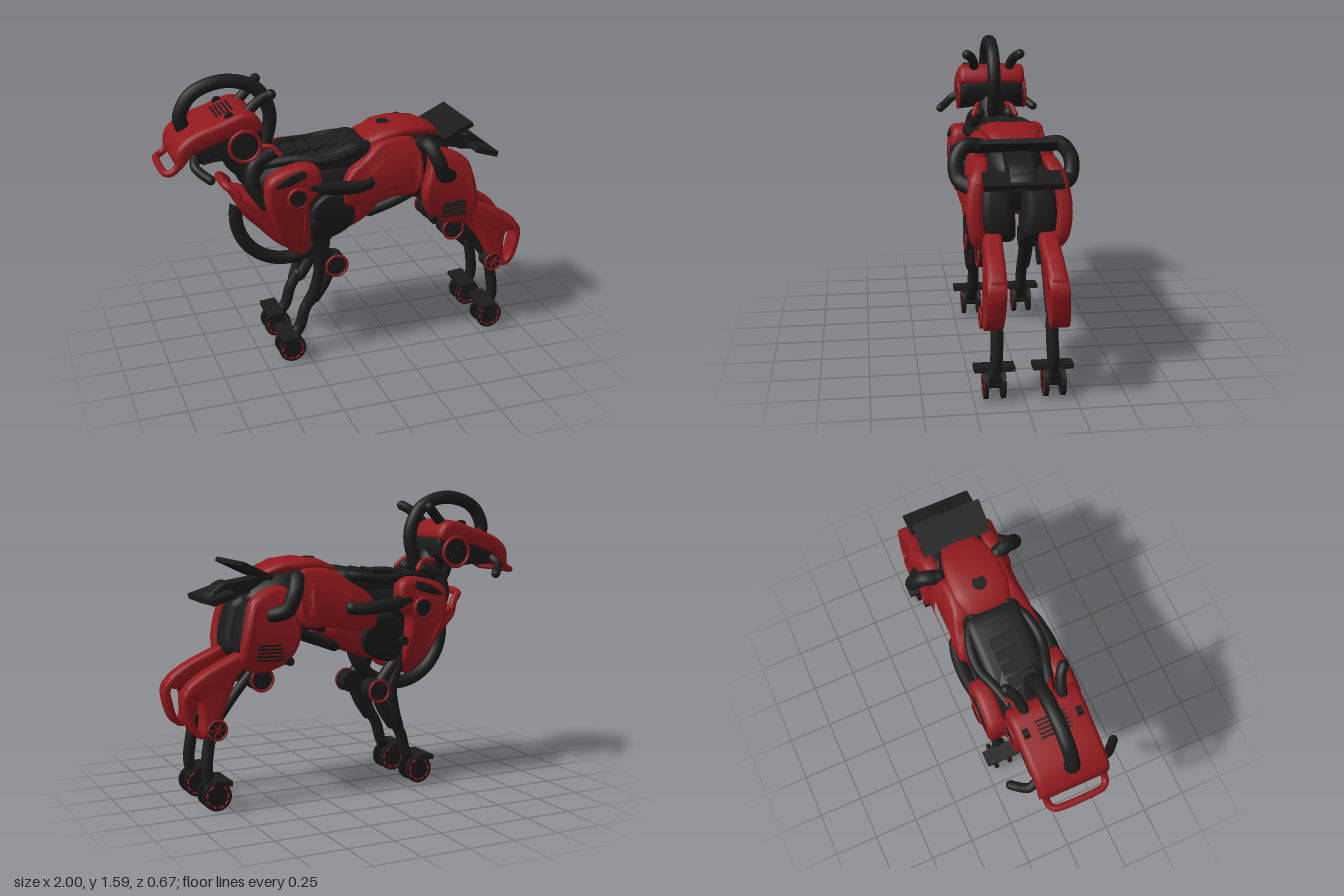
import * as THREE from 'three';
import { toCreasedNormals } from 'three/addons/utils/BufferGeometryUtils.js';

const red = new THREE.MeshStandardMaterial({ color: 0x90191d });
red.name = 'painted red';
const dark = new THREE.MeshStandardMaterial({ color: 0x1b1b1b });
dark.name = 'graphite';

export function createModel() {
  const root = new THREE.Group();
  root.name = 'robotDog';

  const add = (name, geo, mat, x = 0, y = 0, z = 0) => {
    const m = new THREE.Mesh(geo, mat);
    m.name = name;
    m.position.set(x, y, z);
    root.add(m);
    return m;
  };
  const loop = pts => new THREE.CatmullRomCurve3(pts.map(p => new THREE.Vector3(p[0], p[1], 0)), true, 'centripetal')
    .getPoints(pts.length * 5).slice(0, -1).map(p => new THREE.Vector2(p.x, p.y));
  const scaled = (pts, cx, cy, kx, ky) => pts.map(([x, y]) => [cx + (x - cx) * kx, cy + (y - cy) * ky]);
  // Rounded plate in the side plane, centred on z; warp(y) shifts it sideways with height
  const plate = (name, mat, pts, z, depth, bevel, warp = () => 0, hole = null) => {
    const shape = new THREE.Shape(loop(pts));
    if (hole) shape.holes.push(new THREE.Path(loop(hole)));
    const geo = new THREE.ExtrudeGeometry(shape, {
      depth: depth - 2 * bevel, steps: 1, bevelSize: bevel, bevelThickness: bevel, bevelOffset: -bevel, bevelSegments: 4,
    });
    geo.translate(0, 0, bevel - depth / 2);
    const p = geo.attributes.position;
    for (let i = 0; i < p.count; i++) p.setZ(i, p.getZ(i) + warp(p.getY(i)));
    add(name, toCreasedNormals(geo, 0.7), mat, 0, 0, z);
  };
  // Round hose with closed ends
  const hose = (name, mat, pts, r) => {
    const curve = new THREE.CatmullRomCurve3(pts.map(p => new THREE.Vector3(...p)));
    add(name, new THREE.TubeGeometry(curve, pts.length * 8, r, 12), mat);
    for (const e of [pts[0], pts[pts.length - 1]]) add(name + 'End', new THREE.SphereGeometry(r, 12, 8), mat, ...e);
  };
  const axle = (name, mat, x, y, z, r, w, sides = 28) =>
    add(name, new THREE.CylinderGeometry(r, r, w, sides).rotateX(Math.PI / 2), mat, x, y, z);
  const box = (name, mat, x, y, z, w, h, d, rz = 0) => {
    add(name, new THREE.BoxGeometry(w, h, d), mat, x, y, z).rotation.z = rz;
  };
  // Dark hub with a red rim and spokes on its outer face
  const hub = (name, x, y, z, r, w, s, spokeMat = dark) => {
    axle(name, dark, x, y, z, r * 0.95, w);
    add(name + 'Rim', new THREE.TorusGeometry(r * 0.9, r * 0.11, 8, 32), red, x, y, z + s * w / 2);
    for (let i = 0; i < 3; i++) box(name + 'Spoke', spokeMat, x, y, z + s * (w / 2 + 0.003), r * 1.3, r * 0.14, 0.008, i * Math.PI / 3);
  };
  // Loft through oval sections [x, yCentre, yRadius, zRadius]
  const loft = (name, mat, secs, n = 28) => {
    const pos = [], idx = [];
    const soft = v => Math.sign(v) * Math.abs(v) ** 0.75;
    for (const [x, y, ry, rz] of secs) for (let i = 0; i < n; i++) {
      const a = i / n * Math.PI * 2;
      pos.push(x, y + ry * soft(Math.cos(a)), rz * soft(Math.sin(a)));
    }
    for (let k = 0; k < secs.length - 1; k++) for (let i = 0; i < n; i++) {
      const a = k * n + i, b = k * n + (i + 1) % n;
      idx.push(a, b, a + n, b, b + n, a + n);
    }
    const g = new THREE.BufferGeometry();
    g.setAttribute('position', new THREE.Float32BufferAttribute(pos, 3));
    g.setIndex(idx);
    g.computeVertexNormals();
    add(name, g, mat);
  };

  // Torso
  loft('torso', dark, [[-0.5, 0.97, 0.005, 0.005], [-0.49, 0.97, 0.1, 0.09], [-0.4, 0.95, 0.19, 0.15], [-0.2, 0.94, 0.21, 0.19],
    [0, 0.97, 0.19, 0.18], [0.2, 1.03, 0.16, 0.17], [0.42, 1.04, 0.16, 0.15], [0.58, 1.0, 0.12, 0.1], [0.6, 1.0, 0.005, 0.005]]);
  plate('backCover', dark, [[-0.3, 1.1], [-0.1, 1.17], [0.08, 1.2], [0.16, 1.1], [0.05, 1.0], [-0.2, 1.0]], 0, 0.32, 0.05);
  for (let i = 0; i < 6; i++) box('spineRib', dark, -0.38 + i * 0.075, 1.155 + i * 0.006, 0, 0.06, 0.018, 0.15, 0.35);
  plate('bellyPlate', red, [[-0.18, 0.7], [-0.06, 0.715], [0.08, 0.775], [0.18, 0.9], [0.1, 0.95], [-0.12, 0.85]], 0, 0.36, 0.06);
  plate('chestPlate', red, [[-0.61, 0.97], [-0.59, 0.88], [-0.5, 0.78], [-0.39, 0.67], [-0.28, 0.62], [-0.24, 0.7], [-0.34, 0.85], [-0.46, 0.92]],
    0, 0.28, 0.04);
  hose('chestBumper', red, [[-0.52, 0.85, 0.12], [-0.59, 0.92, 0.12], [-0.615, 0.99, 0.11], [-0.66, 1.03, 0.08],
    [-0.66, 1.03, -0.08], [-0.615, 0.99, -0.11], [-0.59, 0.92, -0.12], [-0.52, 0.85, -0.12]], 0.021);
  add('chestRing', new THREE.TorusGeometry(0.282, 0.037, 14, 48, Math.PI * 1.15).rotateZ(Math.PI * 0.92), dark, -0.315, 0.82, 0);

  // Rump saddle with cap
  loft('rumpSaddle', red, [[0.078, 1.16, 0.003, 0.02], [0.085, 1.16, 0.02, 0.08], [0.12, 1.185, 0.035, 0.125], [0.2, 1.215, 0.04, 0.15],
    [0.3, 1.228, 0.04, 0.15], [0.42, 1.222, 0.035, 0.13], [0.5, 1.195, 0.025, 0.1], [0.515, 1.19, 0.003, 0.05]]);
  add('rumpCap', new THREE.CylinderGeometry(0.04, 0.045, 0.03, 8), dark, 0.23, 1.247, 0);

  // Tail plates
  box('tailStem', dark, 0.56, 1.13, 0, 0.24, 0.07, 0.13, -0.15);
  box('tailUpperPlate', dark, 0.59, 1.213, 0, 0.18, 0.025, 0.38, 0.45);
  box('tailLowerPlate', dark, 0.765, 1.08, 0, 0.13, 0.03, 0.38, -0.3);
  plate('tailLink', dark, [[0.64, 1.08], [0.69, 1.155], [0.78, 1.11], [0.825, 1.045], [0.72, 1.06]], 0, 0.13, 0.01);

  // Neck and the hoop over the head
  hose('neck', dark, [[-0.56, 1.26, 0], [-0.51, 1.15, 0], [-0.47, 1.0, 0]], 0.08);
  hose('headHoop', dark, [[-0.85, 1.33, 0], [-0.865, 1.4, 0], [-0.8, 1.51, 0], [-0.63, 1.562, 0], [-0.47, 1.51, 0],
    [-0.4, 1.38, 0], [-0.42, 1.24, 0], [-0.5, 1.12, 0]], 0.037);
  hose('throatHose', dark, [[-0.64, 1.22, 0], [-0.6, 1.12, 0], [-0.5, 1.04, 0]], 0.04);

  // Head with an open nose loop
  plate('headCore', dark, [[-0.85, 1.25], [-0.81, 1.195], [-0.7, 1.195], [-0.58, 1.19], [-0.49, 1.25], [-0.49, 1.36], [-0.58, 1.4], [-0.75, 1.34]],
    0, 0.345, 0.025);
  plate('headShell', red, [[-0.93, 1.22], [-0.92, 1.28], [-0.88, 1.325], [-0.82, 1.36], [-0.7, 1.4], [-0.57, 1.44], [-0.51, 1.42], [-0.48, 1.35],
    [-0.53, 1.32], [-0.66, 1.31], [-0.76, 1.275], [-0.84, 1.245], [-0.88, 1.2], [-0.91, 1.175]], 0, 0.375, 0.03);
  hose('noseLoop', red, [[-0.9, 1.23, 0.155], [-0.925, 1.18, 0.155], [-0.955, 1.16, 0.15], [-0.975, 1.156, 0.13], [-0.982, 1.156, 0.09],
    [-0.982, 1.156, -0.09], [-0.975, 1.156, -0.13], [-0.955, 1.16, -0.15], [-0.925, 1.18, -0.155], [-0.9, 1.23, -0.155]], 0.018);
  for (let i = 0; i < 5; i++) box('crownVent', dark, -0.69 + i * 0.02, 1.405 + i * 0.0065, 0, 0.01, 0.012, 0.16, 0.33);

  for (const s of [1, -1]) {
    const bow = (yc, k) => y => -s * k * (y - yc) ** 2;

    // Head sides: ear disc, cheek grille, horn, tusk, neck pipes
    hub('earDisc', -0.58, 1.27, s * 0.165, 0.088, 0.05, s);
    for (let i = 0; i < 4; i++) box('cheekGrille', dark, -0.735 + i * 0.005, 1.21 + i * 0.018, s * 0.173, 0.12, 0.009, 0.012, 0.2);
    hose('horn', dark, [[-0.56, 1.4, s * 0.1], [-0.51, 1.45, s * 0.105], [-0.46, 1.495, s * 0.125], [-0.43, 1.515, s * 0.15]], 0.027);
    hose('tusk', dark, [[-0.83, 1.23, s * 0.16], [-0.84, 1.2, s * 0.21], [-0.81, 1.17, s * 0.25], [-0.78, 1.15, s * 0.28]], 0.024);
    axle('browBolt', dark, -0.64, 1.415, s * 0.14, 0.025, 0.03, 12);
    hose('neckPipe', dark, [[-0.42, 1.18, s * 0.09], [-0.51, 1.14, s * 0.11], [-0.53, 1.03, s * 0.13], [-0.47, 0.93, s * 0.14]], 0.038);
    hose('neckCollar', red, [[-0.5, 1.22, s * 0.08], [-0.42, 1.22, s * 0.1], [-0.38, 1.18, s * 0.12]], 0.014);
    hose('backPipe', dark, [[-0.44, 1.13, s * 0.1], [-0.3, 1.15, s * 0.14], [-0.15, 1.14, s * 0.18], [0, 1.16, s * 0.16], [0.1, 1.17, s * 0.1]], 0.026);

    // Shoulder
    plate('shoulder', red, [[-0.49, 0.97], [-0.48, 1.08], [-0.41, 1.125], [-0.27, 1.15], [-0.205, 1.12], [-0.2, 1.0], [-0.26, 0.93],
      [-0.25, 0.78], [-0.24, 0.66], [-0.29, 0.615], [-0.38, 0.69], [-0.45, 0.83]], s * 0.214, 0.1, 0.03, bow(1.0, 0.6));
    plate('shoulderSlot', dark, [[-0.45, 1.05], [-0.39, 1.1], [-0.29, 1.125], [-0.28, 1.1], [-0.37, 1.06]], s * 0.264, 0.009, 0.002, bow(1.0, 0.6));
    add('shoulderRim', new THREE.TorusGeometry(0.05, 0.01, 8, 28), red, -0.33, 0.985, s * 0.264);
    axle('shoulderBolt', dark, -0.33, 0.985, s * 0.259, 0.045, 0.025);
    hose('flankHose', dark, [[-0.25, 1.03, s * 0.23], [-0.14, 1.01, s * 0.24], [0, 0.995, s * 0.23], [0.07, 1.0, s * 0.21]], 0.036);
    plate('flankPanel', dark, [[-0.24, 0.88], [-0.16, 0.96], [-0.04, 0.94], [0.0, 0.8], [-0.08, 0.72], [-0.22, 0.7]], s * 0.18, 0.08, 0.02, bow(0.92, 0.6));
    axle('flankBolt', dark, -0.23, 0.81, s * 0.225, 0.025, 0.04, 12);

    // Red side panel with sunken centre
    const side = [[-0.06, 0.9], [-0.045, 1.05], [0.06, 1.13], [0.16, 1.2], [0.34, 1.2], [0.38, 1.08], [0.345, 0.92], [0.22, 0.91], [0.04, 0.88]];
    plate('sidePanelFrame', red, side, s * 0.2, 0.08, 0.018, bow(0.96, 1.1), scaled(side, 0.2, 1.03, 0.62, 0.66));
    plate('sidePanelCentre', red, scaled(side, 0.18, 1.03, 0.85, 0.85), s * 0.188, 0.05, 0.01, bow(0.96, 1.1));
    hose('bellyStrut', dark, [[0.12, 0.79, s * 0.1], [0.25, 0.84, s * 0.12], [0.38, 0.9, s * 0.13]], 0.03);

    // Haunch
    const thigh = [[0.375, 0.9], [0.41, 1.04], [0.43, 1.12], [0.51, 1.13], [0.63, 1.07], [0.66, 1.0], [0.695, 0.82], [0.685, 0.75],
      [0.62, 0.695], [0.46, 0.73], [0.4, 0.8]];
    plate('haunchPad', dark, scaled(thigh, 0.6, 0.91, 0.92, 0.82), s * 0.11, 0.17, 0.05, bow(0.9, 0.8));
    plate('thigh', red, thigh, s * 0.222, 0.08, 0.028, bow(0.9, 1));
    for (let i = 0; i < 5; i++) box('thighVent', dark, 0.55, 0.765 + i * 0.019, s * (0.245 + i * 0.0025), 0.15 - i * 0.006, 0.009, 0.012, 0.04);
    axle('thighBolt', dark, 0.44, 0.75, s * 0.225, 0.022, 0.05, 12);
    hose('hipHose', dark, [[0.38, 1.17, s * 0.17], [0.4, 1.175, s * 0.24], [0.43, 1.11, s * 0.29], [0.47, 1.02, s * 0.28], [0.53, 0.99, s * 0.22]], 0.04);

    // Hind leg with an open heel handle
    const splay = y => s * 0.06 * (0.6 - y);
    hub('knee', 0.575, 0.66, s * 0.15, 0.065, 0.1, s);
    hose('hindStrut', dark, [[0.6, 0.7, s * 0.13], [0.7, 0.585, s * 0.13], [0.81, 0.44, s * 0.13]], 0.025);
    plate('hindShin', red, [[0.63, 0.75], [0.66, 0.8], [0.78, 0.76], [0.9, 0.7], [0.97, 0.64], [0.955, 0.595], [0.91, 0.58], [0.895, 0.48],
      [0.9, 0.41], [0.85, 0.405], [0.8, 0.46], [0.755, 0.56], [0.7, 0.68]], s * 0.148, 0.095, 0.025, splay);
    plate('heelHandle', red, [[0.92, 0.67], [0.98, 0.625], [0.995, 0.58], [0.98, 0.49], [0.95, 0.42], [0.91, 0.388], [0.86, 0.4],
      [0.865, 0.43], [0.905, 0.42], [0.93, 0.45], [0.95, 0.52], [0.96, 0.585], [0.92, 0.63]], s * 0.148, 0.095, 0.009, splay);
    hub('hock', 0.825, 0.425, s * 0.17, 0.055, 0.085, s, red);
    hose('hindShank', dark, [[0.83, 0.41, s * 0.135], [0.85, 0.31, s * 0.135], [0.86, 0.2, s * 0.14], [0.84, 0.12, s * 0.145]], 0.031);

    // Foreleg
    hose('upperForeleg', dark, [[-0.28, 0.76, s * 0.16], [-0.2, 0.67, s * 0.16], [-0.12, 0.56, s * 0.15]], 0.036);
    hub('elbow', -0.1, 0.54, s * 0.15, 0.065, 0.1, s);
    hose('foreBrace', dark, [[-0.23, 0.68, s * 0.17], [-0.19, 0.55, s * 0.17], [-0.21, 0.42, s * 0.165], [-0.24, 0.33, s * 0.155]], 0.031);
    hose('foreShin', dark, [[-0.11, 0.53, s * 0.14], [-0.16, 0.42, s * 0.14], [-0.21, 0.345, s * 0.14]], 0.034);
    hose('foreShank', dark, [[-0.22, 0.36, s * 0.14], [-0.265, 0.28, s * 0.14], [-0.295, 0.18, s * 0.14], [-0.34, 0.12, s * 0.145]], 0.031);

    // Twin wheels with dashed red rings and a fender
    for (const x of [-0.352, 0.825]) {
      box('fender', dark, x - 0.02, 0.155, s * 0.145, 0.09, 0.025, 0.2, 0.08);
      axle('wheelAxle', dark, x, 0.08, s * 0.145, 0.025, 0.1, 16);
      axle('footJoint', dark, x + 0.01, 0.125, s * 0.145, 0.04, 0.06, 16);
      for (const [z, o] of [[0.19, 1], [0.105, -1]]) {
        axle('wheel', dark, x, 0.079, s * z, 0.075, 0.02, 32);
        for (let i = 0; i < 9; i++) {
          add('wheelDash', new THREE.TorusGeometry(0.058, 0.008, 6, 6, 0.5).rotateZ(i * Math.PI * 2 / 9), red, x, 0.079, s * (z + o * 0.007));
        }
      }
    }
  }
  return root;
}
